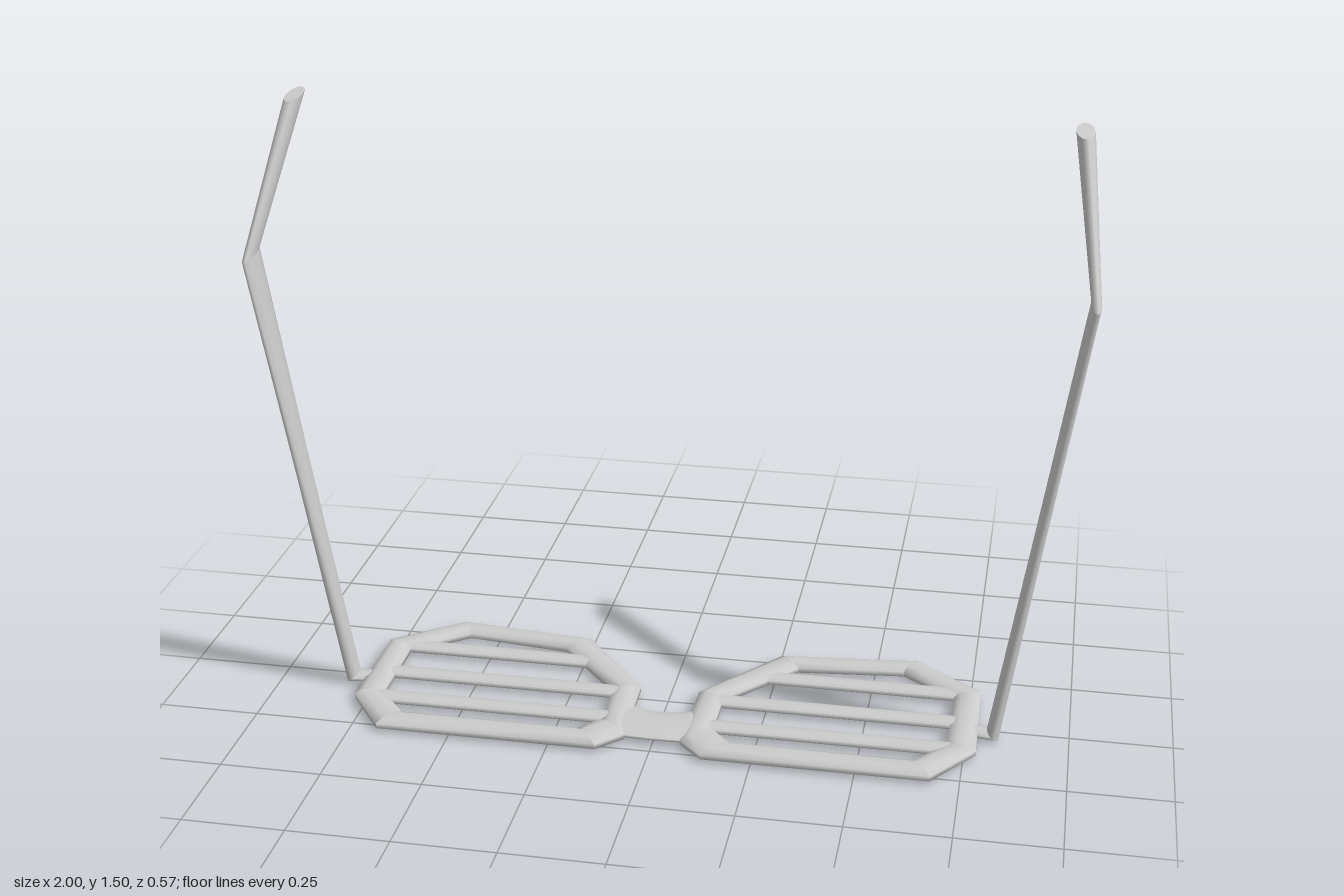
import * as THREE from 'three';

const material = new THREE.MeshStandardMaterial({ color: 0xcccccc });
const V = (x, y, z) => new THREE.Vector3(x, y, z);

// Rounded section around centre c, spanned by the half-axes a and b
function ring(c, a, b, n = 8) {
  const k = 1 / Math.cos(Math.PI / n);
  return Array.from({ length: n }, (_, i) => {
    const t = ((i + 0.5) / n) * Math.PI * 2;
    return c.clone().addScaledVector(a, Math.cos(t) * k).addScaledVector(b, Math.sin(t) * k);
  });
}

// Skin through rings; smooth shares rings, otherwise each joint is a crisp mitre
function loft(name, rings, { closed = false, smooth = false } = {}) {
  const pts = [], index = [], n = rings[0].length;
  const add = (r) => { pts.push(...r); return pts.length - r.length; };
  const starts = smooth ? rings.map(add) : null;
  const count = closed ? rings.length : rings.length - 1;
  for (let s = 0; s < count; s++) {
    const e = (s + 1) % rings.length;
    const p = smooth ? starts[s] : add(rings[s]);
    const q = smooth ? starts[e] : add(rings[e]);
    for (let i = 0; i < n; i++) {
      const j = (i + 1) % n;
      index.push(p + i, q + i, q + j, p + i, q + j, p + j);
    }
  }
  if (!closed) {
    const p = add(rings[0]), q = add(rings[rings.length - 1]);
    for (let i = 1; i < n - 1; i++) index.push(p, p + i, p + i + 1, q, q + i + 1, q + i);
  }
  // Turn the faces outward if the enclosed volume is negative
  let volume = 0;
  for (let i = 0; i < index.length; i += 3) {
    const [a, b, c] = [0, 1, 2].map((k) => pts[index[i + k]]);
    volume += a.dot(b.clone().cross(c));
  }
  if (volume < 0) index.reverse();
  const geometry = new THREE.BufferGeometry().setFromPoints(pts);
  geometry.setIndex(index);
  geometry.computeVertexNormals();
  const mesh = new THREE.Mesh(geometry, material);
  mesh.name = name;
  return mesh;
}

// Lens rim corners: outer x, z and inner x, z
const RIM = [
  [0.255, -0.255, 0.305, -0.195], [0.605, -0.29, 0.575, -0.225],
  [0.775, -0.155, 0.71, -0.12], [0.78, 0.14, 0.71, 0.12],
  [0.68, 0.28, 0.635, 0.21], [0.13, 0.28, 0.19, 0.21],
  [0.07, 0.22, 0.14, 0.155], [0.075, -0.025, 0.14, 0],
];
// Shutter bars: z, inner end x, outer end x
const BARS = [[-0.14, 0.215, 0.745], [0.003, 0.11, 0.745], [0.133, 0.11, 0.745]];

function createSide(s) {
  const side = new THREE.Group();
  side.name = s > 0 ? 'leftSide' : 'rightSide';

  // Octagonal rim
  const rimRings = RIM.map(([ox, oz, ix, iz]) => ring(
    V(s * (ox + ix) / 2, 0.0155, (oz + iz) / 2),
    V(s * (ox - ix) / 2, 0, (oz - iz) / 2),
    V(0, 0.0155, 0)));
  side.add(loft('rim', rimRings, { closed: true }));

  // Flattened bars across the opening
  for (const [z, x0, x1] of BARS) {
    const geometry = new THREE.CylinderGeometry(0.028, 0.028, x1 - x0, 12);
    geometry.rotateZ(Math.PI / 2);
    geometry.scale(1, 0.4, 1);
    const bar = new THREE.Mesh(geometry, material);
    bar.position.set(s * (x0 + x1) / 2, 0.0165, z);
    bar.name = 'shutterBar';
    side.add(bar);
  }

  // Temple arm: hinge stub, elbow, long arm, ear bend, tip
  const arm = [
    [[0.755, 0.015, 0.03], [0, 0, 0.026], [0, -0.011, 0]],
    [[0.815, 0.014, 0.036], [0, 0, 0.027], [0.014, -0.011, 0]],
    [[0.986, 1.158, 0.103], [0.003, -0.008, 0.042], [0.011, 0, 0]],
    [[0.936, 1.492, -0.125], [0, -0.007, 0.045], [0.021, -0.002, 0]],
  ];
  side.add(loft('templeArm', arm.map((r) =>
    ring(...r.map(([x, y, z]) => V(s * x, y, z)), 10))));
  return side;
}

export function createModel() {
  const model = new THREE.Group();
  model.name = 'shutterGlasses';
  model.add(createSide(1), createSide(-1));

  // Nose bridge, narrowest in the middle
  const bridge = [];
  for (let i = -4; i <= 4; i++) {
    const u = i / 4;
    const back = 0.093 - 0.028 * u * u, front = 0.222 - 0.004 * u * u;
    bridge.push(ring(V(u * 0.09, 0.018, (back + front) / 2),
      V(0, 0, (front - back) / 2), V(0, 0.01, 0), 10));
  }
  model.add(loft('noseBridge', bridge, { smooth: true }));
  return model;
}
